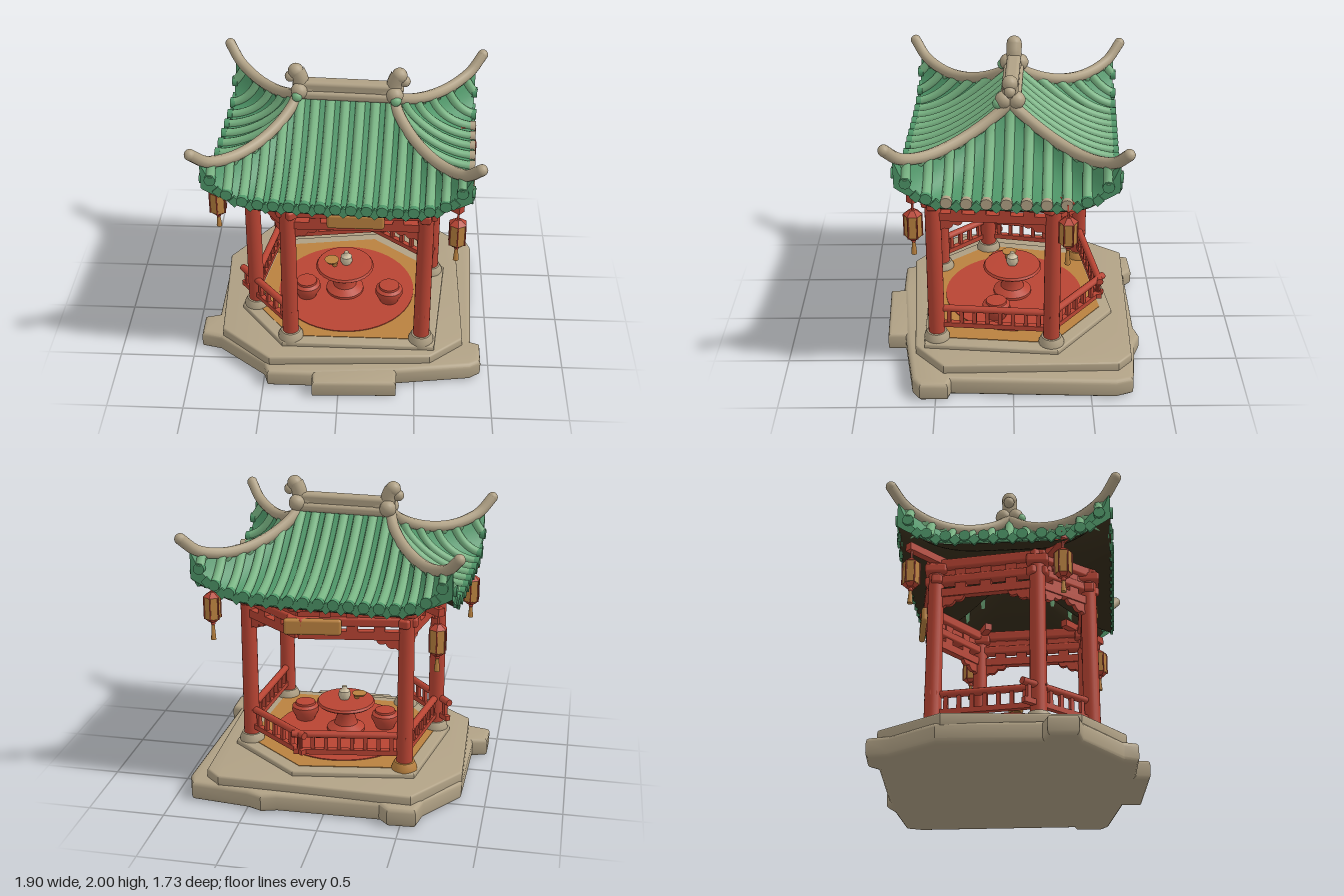
import * as THREE from 'three';
import { toCreasedNormals } from 'three/addons/utils/BufferGeometryUtils.js';
import { RoundedBoxGeometry } from 'three/addons/geometries/RoundedBoxGeometry.js';

const mat = (name, color, side = THREE.FrontSide) => {
  const m = new THREE.MeshStandardMaterial({ color, side });
  m.name = name;
  return m;
};

export function createModel() {
  const stone = mat('stone', 0xb0a185), red = mat('red lacquer', 0xb84433), ochre = mat('ochre', 0xb9813f);
  const tile = mat('light green tile', 0x79b684), under = mat('green tile bed', 0x4f9769, THREE.DoubleSide);
  const dark = mat('dark soffit', 0x352c1a, THREE.DoubleSide), pale = mat('pale ceramic', 0xcbbd9f);

  const model = new THREE.Group();
  model.name = 'pavilion';
  const group = (name, parent = model) => {
    const g = new THREE.Group();
    g.name = name;
    parent.add(g);
    return g;
  };
  const add = (parent, name, geo, m, x = 0, y = 0, z = 0) => {
    const mesh = new THREE.Mesh(geo, m);
    mesh.name = name;
    mesh.position.set(x, y, z);
    parent.add(mesh);
    return mesh;
  };
  const V = (x, y, z) => new THREE.Vector3(x, y, z);
  const cyl = (r0, r1, h, n = 16) => new THREE.CylinderGeometry(r0, r1, h, n);
  const lathe = (pts) => toCreasedNormals(new THREE.LatheGeometry(pts.map(p => new THREE.Vector2(...p)), 24), 0.7);
  // Horizontal slab with a soft edge from an outline of [x, z] points
  const slab = (name, pts, y0, y1, m, bevel = 0.02, parent = model) => {
    const s = new THREE.Shape(pts.map(([x, z]) => new THREE.Vector2(x, -z)));
    const geo = new THREE.ExtrudeGeometry(s, { depth: y1 - y0 - 2 * bevel, bevelEnabled: bevel > 0, bevelSize: bevel,
      bevelThickness: bevel, bevelOffset: -bevel, bevelSegments: 3 });
    geo.rotateX(-Math.PI / 2);
    add(parent, name, toCreasedNormals(geo, 0.6), m, 0, y0 + bevel, 0);
  };

  // Stone base
  const base = group('stone base');
  slab('lower slab', [[-.6, -.86], [-.42, -.87], [-.36, -.81], [.3, -.82], [.4, -.85], [.5, -.81], [.88, -.77], [.92, -.66],
    [.88, .4], [.94, .42], [.94, .6], [.87, .65], [.4, .72], [-.18, .77], [-.47, .77], [-.5, .68], [-.82, .43], [-.95, .4],
    [-.95, .22], [-.85, .19], [-.84, -.43], [-.63, -.72]], 0, .13, stone, .03, base);
  slab('front step', [[-.18, .6], [.38, .6], [.38, .84], [-.17, .86]], 0, .125, stone, .025, base);
  slab('middle slab', [[-.56, -.8], [.7, -.77], [.8, -.68], [.82, .45], [.6, .64], [-.46, .7], [-.8, .42], [-.84, -.4]],
    .1, .19, stone, .015, base);

  // Column positions; the back corner has no column
  const cols = [[-.33, .5], [.54, .5], [.61, -.25], [-.47, -.48], [-.59, .17]];
  const ring = [cols[0], cols[1], cols[2], [.2, -.58], cols[3], cols[4]];
  const scaled = k => ring.map(([x, z]) => [x * k, z * k]);
  slab('upper slab', scaled(1.16), .16, .222, stone, .012, base);
  slab('floor', scaled(1.02), .2, .226, ochre, 0);
  add(model, 'carpet', cyl(.47, .47, .008, 48), red, 0.02, .228, -.01);

  const columns = group('columns');
  cols.forEach(([x, z], i) => {
    add(columns, 'column', cyl(.05, .054, 1.1, 20), red, x, .8, z);
    add(columns, 'columnFoot', lathe([[0, .17], [.075, .17], [.085, .2], [.082, .24], [.065, .275], [0, .28]]),
      i === 3 ? ochre : stone, x, 0, z);
    add(columns, 'columnCap', new RoundedBoxGeometry(.14, .06, .14, 2, .015), red, x, 1.31, z);
  });

  // A group whose local x axis runs from a to b
  const span = (name, a, b) => {
    const g = group(name);
    g.position.set((a[0] + b[0]) / 2, 0, (a[1] + b[1]) / 2);
    g.rotation.y = -Math.atan2(b[1] - a[1], b[0] - a[0]);
    return [g, Math.hypot(b[0] - a[0], b[1] - a[1])];
  };

  // Railings
  const railing = (a, b) => {
    const [g, L] = span('railing', a, b);
    add(g, 'topRail', cyl(.024, .024, L + .1, 10).rotateZ(Math.PI / 2), red, 0, .45, 0);
    add(g, 'lowRail', new THREE.BoxGeometry(L + .08, .035, .035), red, 0, .33, 0);
    const n = Math.max(2, Math.round(L / .085));
    for (let i = 0; i <= n; i++) {
      add(g, 'baluster', new THREE.BoxGeometry(.026, .12, .026), red, (i / n - .5) * L, .39, 0);
    }
  };
  railing(cols[1], cols[2]);
  railing(cols[2], ring[3]);
  railing(ring[3], cols[3]);
  railing(cols[3], cols[4]);
  railing([-.66, .11], cols[0]);

  // Beams, with brackets beside each column
  const bracket = new THREE.Shape();
  bracket.moveTo(0, 0);
  bracket.lineTo(.16, 0);
  bracket.quadraticCurveTo(.15, -.05, .1, -.03);
  bracket.quadraticCurveTo(.08, -.075, .04, -.06);
  bracket.lineTo(0, -.085);
  const bracketGeo = new THREE.ExtrudeGeometry(bracket, { depth: .03, bevelEnabled: false }).translate(0, 0, -.015);
  ring.forEach((a, i) => {
    const b = ring[(i + 1) % ring.length];
    const [g, L] = span('beams', a, b);
    add(g, 'lowBeam', new THREE.BoxGeometry(L, .055, .05), red, 0, 1.145, 0);
    add(g, 'midBeam', new RoundedBoxGeometry(L + .14, .06, .07, 2, .015), red, 0, 1.235, 0);
    add(g, 'frieze', new THREE.BoxGeometry(L, .12, .03), red, 0, 1.31, 0);
    add(g, 'topBeam', new RoundedBoxGeometry(L + .12, .07, .1, 2, .015), red, 0, 1.34, 0);
    const n = Math.max(2, Math.round(L / .16));
    for (let k = 1; k < n; k++) {
      add(g, 'beamBlock', new THREE.BoxGeometry(.07, .16, .05), red, (k / n - .5) * L, 1.24, 0);
    }
    for (const [s, corner] of [[-1, a], [1, b]]) {
      if (!cols.includes(corner)) continue;
      const m = add(g, 'bracket', bracketGeo, red, s * (L / 2 - .03), 1.12, 0);
      if (s > 0) m.rotation.y = Math.PI;
    }
  });
  // Blank boards
  for (const [x, z, turn] of [[.1, .55, 0], [.1, -.615, Math.PI + .14]]) {
    const board = group('board');
    board.position.set(x, 1.21, z);
    board.rotation.y = turn;
    add(board, 'boardPanel', new RoundedBoxGeometry(.36, .105, .04, 3, .018), ochre);
  }

  // Hanging lanterns on arms; the last number is the drop of the tassel
  const bodyGeo = toCreasedNormals(cyl(.055, .055, .15, 6), .5);
  for (const [x, z, low] of [[-.79, .33, .99], [.73, .61, .98], [.83, -.33, .96], [-.68, -.62, .98]]) {
    const [arm] = span('lanternArm', [x * .6, z * .6], [x, z]);
    add(arm, 'arm', new THREE.BoxGeometry(.43, .05, .05), red, 0, 1.37, 0);
    const g = group('lantern');
    g.position.set(x, 0, z);
    add(g, 'cord', cyl(.008, .008, .12, 6), red, 0, 1.34, 0);
    add(g, 'lanternBody', bodyGeo, ochre, 0, 1.185, 0);
    add(g, 'lanternTop', toCreasedNormals(cyl(.02, .06, .03, 6), .5), red, 0, 1.275, 0);
    add(g, 'lanternBottom', toCreasedNormals(cyl(.056, .03, .025, 6), .5), red, 0, 1.1, 0);
    for (let k = 0; k < 6; k++) {
      const t = k * Math.PI / 3;
      add(g, 'lanternRib', cyl(.005, .005, .15, 6), red, .055 * Math.sin(t), 1.185, .055 * Math.cos(t));
    }
    add(g, 'tasselBead', new THREE.SphereGeometry(.016, 10, 8), red, 0, 1.075, 0);
    add(g, 'tassel', cyl(.01, .018, 1.07 - low, 8), ochre, 0, (1.07 + low) / 2, 0);
  }

  // Table, tea set and stools
  const furniture = group('furniture');
  add(furniture, 'table', lathe([[0, .225], [.13, .225], [.13, .25], [.08, .28], [.06, .34], [.08, .41], [.19, .425], [.2, .435],
    [.19, .45], [0, .455]]), red, .01, 0, 0);
  add(furniture, 'teapot', lathe([[0, .455], [.03, .455], [.042, .48], [.038, .515], [.02, .53], [.015, .55], [0, .553]]), pale, .02, 0, 0);
  add(furniture, 'tray', cyl(.05, .04, .015), ochre, -.08, .49, .02);
  add(furniture, 'cup', cyl(.022, .016, .035, 10), ochre, -.06, .47, .03);
  for (const [x, z] of [[-.25, .08], [.32, .11]]) {
    add(furniture, 'stool', lathe([[0, .225], [.06, .225], [.07, .25], [.095, .3], [.092, .33], [.07, .345], [.068, .36], [0, .365]]), red, x, 0, z);
  }

  // Roof: v runs from ridge (0) to eave (1), a runs along the eave
  const roof = group('roof');
  roof.position.x = .015;
  roof.rotation.y = -.05;
  const hipX = v => .3 + .52 * v ** 1.3;
  const hipY = v => 1.78 - .53 * v + .34 * v * v + .07 * v ** 6;
  const midY = v => 1.78 - .4 * (1 - (1 - v) ** 1.7);
  const faces = [
    { half: hipX, at: (a, y, v) => V(a, y, .67 * v), start: a => Math.max(0, (Math.abs(a) - .3) / .52) ** (1 / 1.3), n: 8, gap: .095 },
    { half: v => .67 * v, at: (a, y, v) => V(hipX(v), y, -a), start: a => Math.abs(a) / .67, n: 5, gap: .12 },
  ];
  const point = (f, a, v) => {
    const w = Math.min(1, Math.abs(a) / Math.max(f.half(v), 1e-4)) ** (5 + 2 * v);
    return f.at(a, midY(v) + (hipY(v) - midY(v)) * w, v);
  };
  // Grid surface from a rule over s (-1..1) and t (0..1)
  const grid = (N, M, rule) => {
    const pos = [], idx = [];
    for (let j = 0; j <= M; j++) for (let i = 0; i <= N; i++) pos.push(...rule(2 * i / N - 1, j / M).toArray());
    for (let j = 0; j < M; j++) for (let i = 0; i < N; i++) {
      const p = j * (N + 1) + i, q = p + N + 1;
      idx.push(p, q, q + 1, p, q + 1, p + 1);
    }
    const geo = new THREE.BufferGeometry();
    geo.setAttribute('position', new THREE.Float32BufferAttribute(pos, 3));
    geo.setIndex(idx);
    geo.computeVertexNormals();
    return geo;
  };
  const capGeo = cyl(.036, .036, .035, 12).rotateX(Math.PI / 2);
  const dripGeo = new THREE.BoxGeometry(.055, .055, .02).rotateZ(Math.PI / 4);
  faces.forEach((f, side) => {
    const bed = grid(40, 16, (s, t) => point(f, f.half(t) * s, t));
    const fascia = grid(40, 1, (s, t) => {
      const p = point(f, f.half(1) * s, 1);
      p.y += (Math.min(p.y - .04, 1.35 + .13 * s ** 4) - p.y) * t;
      return p;
    });
    for (const turn of [0, Math.PI]) {
      const g = group(side ? 'sideSlope' : 'mainSlope', roof);
      g.rotation.y = turn;
      add(g, 'tileBed', bed, under);
      add(g, 'eaveEdge', fascia, under);
      add(g, 'soffit', bed, dark, 0, -.045, 0);
      for (let k = -f.n; k <= f.n; k++) {
        const a = k * f.gap, v0 = f.start(a);
        if (v0 < .93) {
          const pts = [];
          for (let i = 0; i <= 12; i++) {
            pts.push(point(f, a, v0 + (1 - v0) * i / 12).add(V(0, .008, 0)));
          }
          add(g, 'tileRow', new THREE.TubeGeometry(new THREE.CatmullRomCurve3(pts), 16, .031, 8), tile);
        }
        // The middle tile ends of one side eave are bare stone
        const endMat = side && !turn && Math.abs(k) < 4 ? stone : under;
        const e = point(f, a, 1), d = point(f, a + f.gap / 2, 1);
        add(g, 'tileEnd', capGeo, endMat, e.x, e.y + .005, e.z).rotation.y = side * Math.PI / 2;
        if (k < f.n) add(g, 'dripTile', dripGeo, under, d.x, d.y - .02, d.z).rotation.y = side * Math.PI / 2;
      }
    }
  });

  // Hip ridges with upswept tips
  for (const sx of [-1, 1]) for (const sz of [-1, 1]) {
    const pts = [];
    for (let i = 0; i <= 10; i++) {
      const v = i / 10 * 1.06;
      pts.push(V(sx * hipX(v), hipY(v) + .02 + (v > 1 ? .025 : 0), sz * .67 * v));
    }
    add(roof, 'hipRidge', new THREE.TubeGeometry(new THREE.CatmullRomCurve3(pts), 30, .036, 10), stone);
    const t = pts[10];
    add(roof, 'hipTip', new THREE.SphereGeometry(.036, 12, 10), stone, t.x, t.y, t.z);
  }

  // Main ridge with curled end ornaments
  add(roof, 'ridgeFoot', new RoundedBoxGeometry(.66, .06, .13, 3, .025), stone, .01, 1.805, 0);
  add(roof, 'ridge', new RoundedBoxGeometry(.6, .1, .09, 3, .025), stone, .01, 1.845, 0);
  for (const s of [-1, 1]) {
    const orn = group('ridgeOrnament', roof);
    orn.position.x = .01;
    const c = new THREE.CatmullRomCurve3([V(s * .22, 1.83, 0), V(s * .28, 1.85, 0), V(s * .3, 1.91, 0), V(s * .32, 1.955, 0)]);
    add(orn, 'ornamentNeck', new THREE.TubeGeometry(c, 12, .05, 10), stone);
    add(orn, 'ornamentCurl', new THREE.SphereGeometry(.05, 14, 10), stone, s * .325, 1.95, 0);
    add(orn, 'ornamentKnob', new THREE.SphereGeometry(.036, 12, 10), stone, s * .36, 1.91, 0);
    for (const z of [-.04, .04]) {
      add(orn, 'ornamentFoot', new THREE.SphereGeometry(.055, 12, 10), stone, s * .3, 1.83, z);
    }
    add(orn, 'ornamentPatch', new THREE.SphereGeometry(.035, 12, 10), tile, s * .31, 1.81, .075);
  }
  return model;
}
